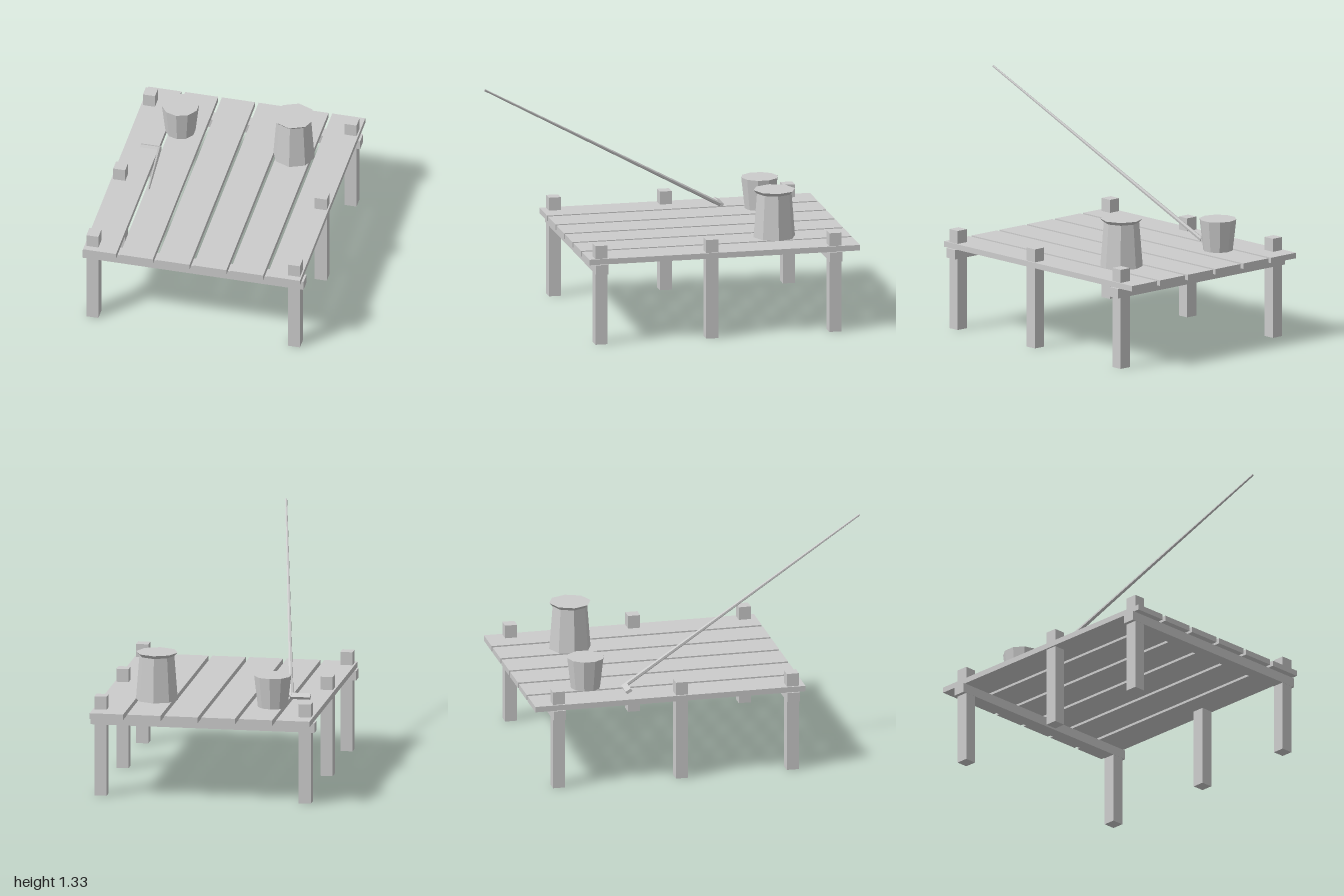
import * as THREE from 'three';

export function createModel() {
  const model = new THREE.Group();
  model.name = 'fishingDock';
  const grey = new THREE.MeshStandardMaterial({ color: 0xcccccc });
  grey.name = 'plain grey';
  grey.flatShading = true;

  const add = (name, geometry, x, y, z) => {
    const mesh = new THREE.Mesh(geometry, grey);
    mesh.name = name;
    mesh.position.set(x, y, z);
    model.add(mesh);
    return mesh;
  };
  // Box given by its limits on each axis
  const box = (name, x0, x1, y0, y1, z0, z1) =>
    add(name, new THREE.BoxGeometry(x1 - x0, y1 - y0, z1 - z0),
      (x0 + x1) / 2, (y0 + y1) / 2, (z0 + z1) / 2);

  // Deck planks
  for (let i = 0; i < 6; i++) {
    const x = -0.535 + i * 0.2135;
    box('plank', x - 0.096, x + 0.096, 0.466, 0.498, -1, 0.566);
  }

  // Posts rising through the deck, with cross beams at both ends
  for (const z of [-0.86, -0.147, 0.495]) {
    for (const side of [-1, 1]) {
      const x = side * 0.585;
      box('post', x - 0.035, x + 0.035, 0, 0.573, z - 0.035, z + 0.035);
    }
  }
  for (const z of [-0.86, 0.495]) {
    box('crossBeam', -0.641, 0.641, 0.411, 0.466, z - 0.036, z + 0.036);
  }

  // Ten-sided bucket, wider at the top
  add('bucket', new THREE.CylinderGeometry(0.106, 0.085, 0.18, 10), -0.358, 0.588, -0.645);

  // Eight-sided barrel with a flared rim
  const barrelProfile = [[0, 0], [0.12, 0], [0.1, 0.253], [0.12, 0.273], [0, 0.273]]
    .map(([r, y]) => new THREE.Vector2(r, y));
  add('barrel', new THREE.LatheGeometry(barrelProfile, 8), 0.318, 0.498, -0.575);

  // Tapered rod leaning out past the front of the deck
  const base = new THREE.Vector3(-0.428, 0.513, -0.432);
  const tip = new THREE.Vector3(-0.146, 1.322, 0.995);
  const direction = tip.clone().sub(base);
  const rod = add('rod', new THREE.CylinderGeometry(0.006, 0.013, direction.length(), 6), 0, 0, 0);
  rod.position.addVectors(base, tip).multiplyScalar(0.5);
  rod.quaternion.setFromUnitVectors(new THREE.Vector3(0, 1, 0), direction.normalize());

  // Crank handle at the foot of the rod
  const handle = add('rodHandle', new THREE.BoxGeometry(0.115, 0.018, 0.035), -0.48, 0.514, -0.435);
  handle.rotation.x = -0.52;

  return model;
}
